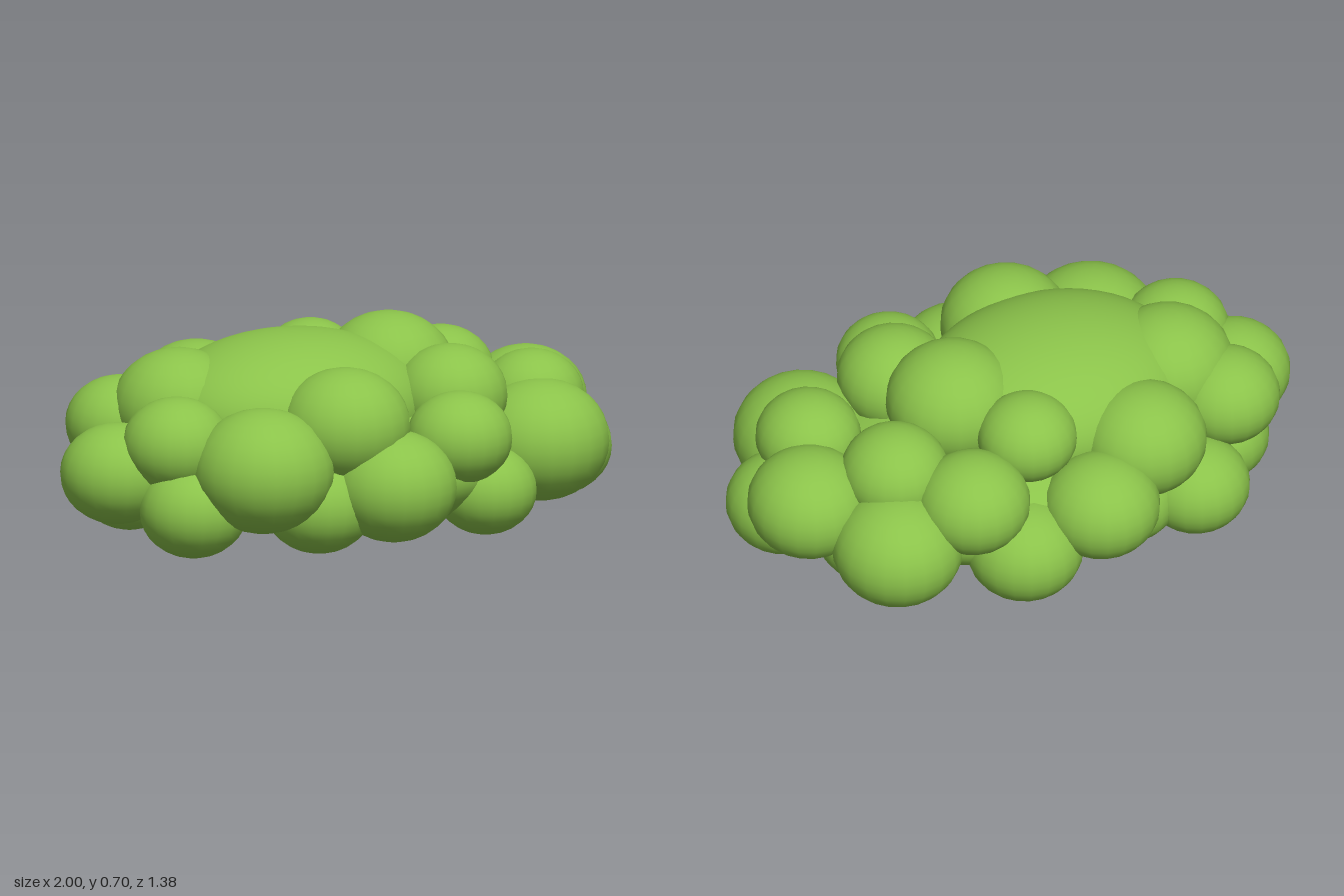
import * as THREE from 'three';

// Leaf clumps: x, y, z, horizontal radius
const CLUMPS = [
  // left-hand end (-x)
  [-0.81, 0.27, 0.01, 0.19], [-0.67, 0.38, -0.23, 0.18], [-0.53, 0.45, -0.08, 0.22],
  [-0.67, 0.38, 0.16, 0.18], [-0.65, 0.173, 0.24, 0.18], [-0.66, 0.185, -0.18, 0.175],
  // back
  [-0.31, 0.41, -0.36, 0.21], [-0.49, 0.173, -0.38, 0.18], [-0.09, 0.3, -0.5, 0.195],
  [0.17, 0.182, -0.46, 0.195], [0.33, 0.38, -0.4, 0.19], [0.08, 0.495, -0.29, 0.165],
  [0.585, 0.25, -0.36, 0.217], [-0.26, 0.17, -0.33, 0.175],
  // right-hand end (+x)
  [0.52, 0.43, -0.2, 0.18], [0.79, 0.33, -0.11, 0.205], [0.8, 0.21, 0.07, 0.19],
  [0.68, 0.4, 0.13, 0.175], [0.63, 0.285, 0.28, 0.23], [0.58, 0.175, -0.155, 0.19],
  // front
  [0.32, 0.46, 0.23, 0.19], [0.245, 0.36, 0.43, 0.175], [0.37, 0.163, 0.38, 0.17],
  [-0.03, 0.235, 0.48, 0.21], [-0.15, 0.43, 0.365, 0.217], [-0.46, 0.31, 0.37, 0.235],
  [-0.25, 0.176, 0.37, 0.185],
  // crown
  [0.225, 0.505, -0.02, 0.222],
];

export function createModel() {
  const bush = new THREE.Group();
  bush.name = 'bush';
  const leafGreen = new THREE.MeshStandardMaterial({ color: 0x8bc34a });
  leafGreen.name = 'leaf green';

  function ellipsoid(name, geometry, position, scale) {
    const mesh = new THREE.Mesh(geometry, leafGreen);
    mesh.name = name;
    mesh.position.set(...position);
    mesh.scale.set(...scale);
    bush.add(mesh);
  }

  // Broad low base with a smaller dome on top
  const large = new THREE.SphereGeometry(1, 48, 32);
  ellipsoid('base', large, [0.03, 0.235, 0], [0.69, 0.23, 0.54]);
  ellipsoid('dome', large, [-0.15, 0.43, 0], [0.47, 0.25, 0.39]);

  // Slightly flattened clumps around them
  const small = new THREE.SphereGeometry(1, 20, 16);
  CLUMPS.forEach(([x, y, z, r], i) =>
    ellipsoid(`leafClump${i + 1}`, small, [x, y, z], [r, r * 0.88, r]));
  return bush;
}
